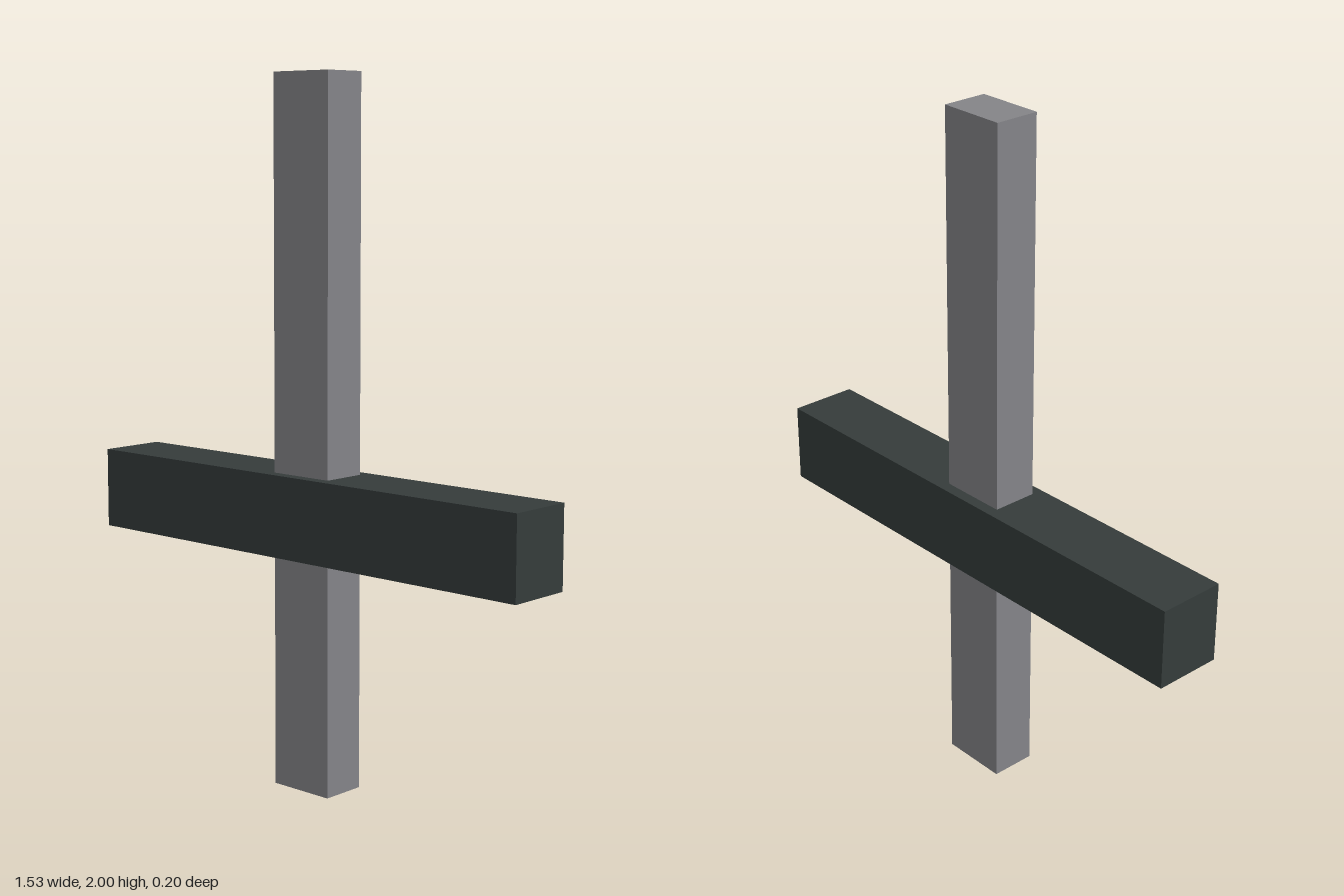
import * as THREE from 'three';

export function createModel() {
  const model = new THREE.Group();
  model.name = 'crossedBeams';

  const material = (name, color) => {
    const m = new THREE.MeshStandardMaterial({ color });
    m.name = name;
    return m;
  };
  const grey = material('midGrey', 0x848488);
  const dark = material('darkSlate', 0x353c3b);

  const addBox = (name, width, height, depth, centreY, mat) => {
    const mesh = new THREE.Mesh(new THREE.BoxGeometry(width, height, depth), mat);
    mesh.name = name;
    mesh.position.y = centreY;
    model.add(mesh);
  };

  // Upright running the full height
  addBox('post', 0.2, 2, 0.133, 1, grey);
  // Thicker beam wrapped across the post
  addBox('crossbar', 1.533, 0.233, 0.2, 0.783, dark);

  return model;
}
